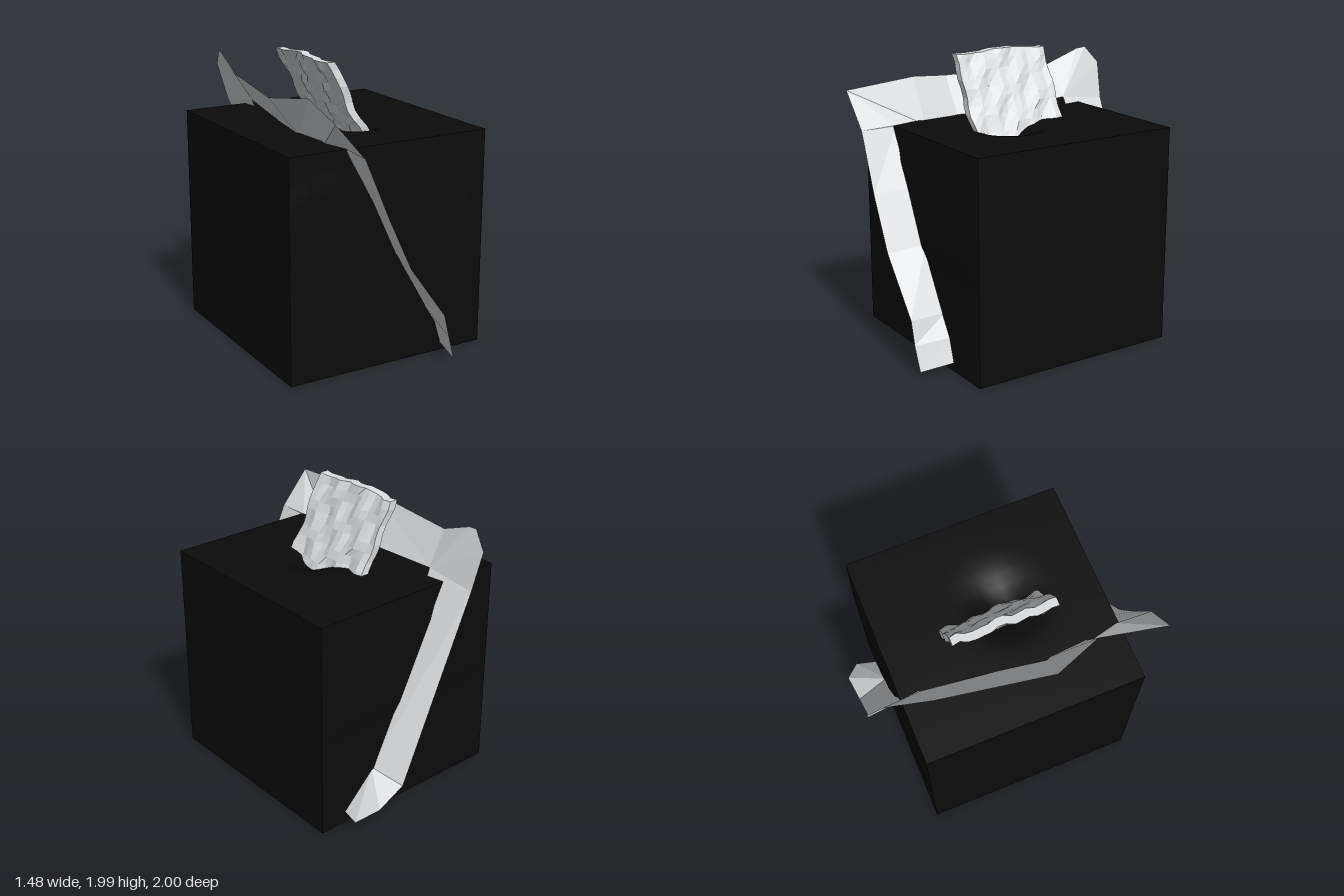
import * as THREE from 'three';

// Open ribbon surface through pairs of [outer point, inner point], closed into a loop
function ribbonGeometry(sections) {
  const pos = [], index = [], n = sections.length;
  sections.forEach(([outer, inner]) => pos.push(...outer, ...inner));
  for (let i = 0; i < n; i++) {
    const a = i * 2, b = ((i + 1) % n) * 2;
    index.push(a, a + 1, b, b, a + 1, b + 1);
  }
  const geo = new THREE.BufferGeometry();
  geo.setAttribute('position', new THREE.Float32BufferAttribute(pos, 3));
  geo.setIndex(index);
  geo.computeVertexNormals();
  return geo;
}

// Move every vertex of a geometry by a rule
function deform(geo, rule) {
  const p = geo.attributes.position, v = new THREE.Vector3();
  for (let i = 0; i < p.count; i++) {
    v.fromBufferAttribute(p, i);
    rule(v);
    p.setXYZ(i, v.x, v.y, v.z);
  }
  geo.computeVertexNormals();
  return geo;
}

export function createModel() {
  const group = new THREE.Group();
  const black = new THREE.MeshStandardMaterial({ color: 0x0b0b0b });
  black.name = 'black';
  const paleGrey = new THREE.MeshStandardMaterial({ color: 0xdcdee0, side: THREE.DoubleSide, flatShading: true });
  paleGrey.name = 'pale grey';
  const slabGrey = paleGrey;

  const add = (name, geo, mat) => {
    const mesh = new THREE.Mesh(geo, mat);
    mesh.name = name;
    group.add(mesh);
  };

  // Cube with slightly bulged front and back and a shallow hollow in the top
  const cube = new THREE.BoxGeometry(1.476, 1.51, 1.51, 20, 20, 20).translate(0, 0.755, 0);
  deform(cube, (v) => {
    const edge = Math.abs(v.x) < 0.7 && v.y > 0.7 && v.y < 1.3;
    if (edge && Math.abs(v.z) > 0.75) v.z += Math.sign(v.z) * 0.012;
    if (v.y > 1.5) {
      const d = ((v.x - 0.1) ** 2 + (v.z - 0.12) ** 2) / 0.03;
      v.y -= 0.1 * Math.exp(-d);
    }
  });
  add('cube', cube, black);

  // Slanted ribbon frame that runs round and through the cube
  const topInner = [-0.29, 1.56, -0.62], lowInner = [0.3, 0.32, -0.74];
  add('ribbonFrame', ribbonGeometry([
    // front bar, top to bottom
    [[-0.55, 1.74, 0.99], [-0.33, 1.51, 0.74]],
    [[-0.34, 1.5, 0.99], [-0.33, 1.5, 0.74]],
    [[-0.17, 1.1, 1.0], [-0.13, 1.13, 0.74]],
    [[0, 0.74, 1.0], [0.04, 0.77, 0.74]],
    [[0.28, 0.36, 0.99], [0.28, 0.36, 0.74]],
    [[0.32, 0.2, 0.99], [0.37, 0.22, 0.74]],
    [[0.37, 0.03, 0.98], [0.42, 0.06, 0.74]],
    // bottom bar, inside the cube
    [[0.42, 0.06, 0.72], [0.3, 0.32, 0.7]],
    // back lower corner
    [[0.54, 0.08, -0.74], lowInner],
    [[0.58, 0.09, -0.9], lowInner],
    [[0.46, 0.19, -1.0], lowInner],
    [[0.24, 0.27, -0.98], lowInner],
    // back upper corner
    [[-0.31, 1.51, -0.98], topInner],
    [[-0.38, 1.77, -1.0], topInner],
    [[-0.41, 1.89, -0.9], topInner],
    [[-0.42, 1.88, -0.83], topInner],
    [[-0.45, 1.78, -0.58], topInner],
    // top bar
    [[-0.58, 1.76, 0.2], [-0.37, 1.48, 0.22]],
    [[-0.47, 1.8, 0.52], [-0.35, 1.48, 0.5]],
  ]), paleGrey);

  // Leaning, lumpy slab standing out of the top
  const slab = new THREE.BoxGeometry(0.06, 0.68, 0.71, 2, 12, 14).translate(0, 1.64, 0);
  deform(slab, (v) => {
    const { y, z } = v;
    const lump = Math.sin(z * 23 + y * 6) * Math.sin(y * 21 - z * 4);
    v.x += 0.035 - 0.52 * (y - 1.51) + 0.015 * lump + 0.008 * Math.sin(z * 41 + y * 17);
    v.y += 0.01 * Math.sin(z * 11 + 2) * (y > 1.9 ? 1 : 0);
    v.z += 0.006 * Math.sin(y * 25);
  });
  add('lumpySlab', slab, slabGrey);

  return group;
}
